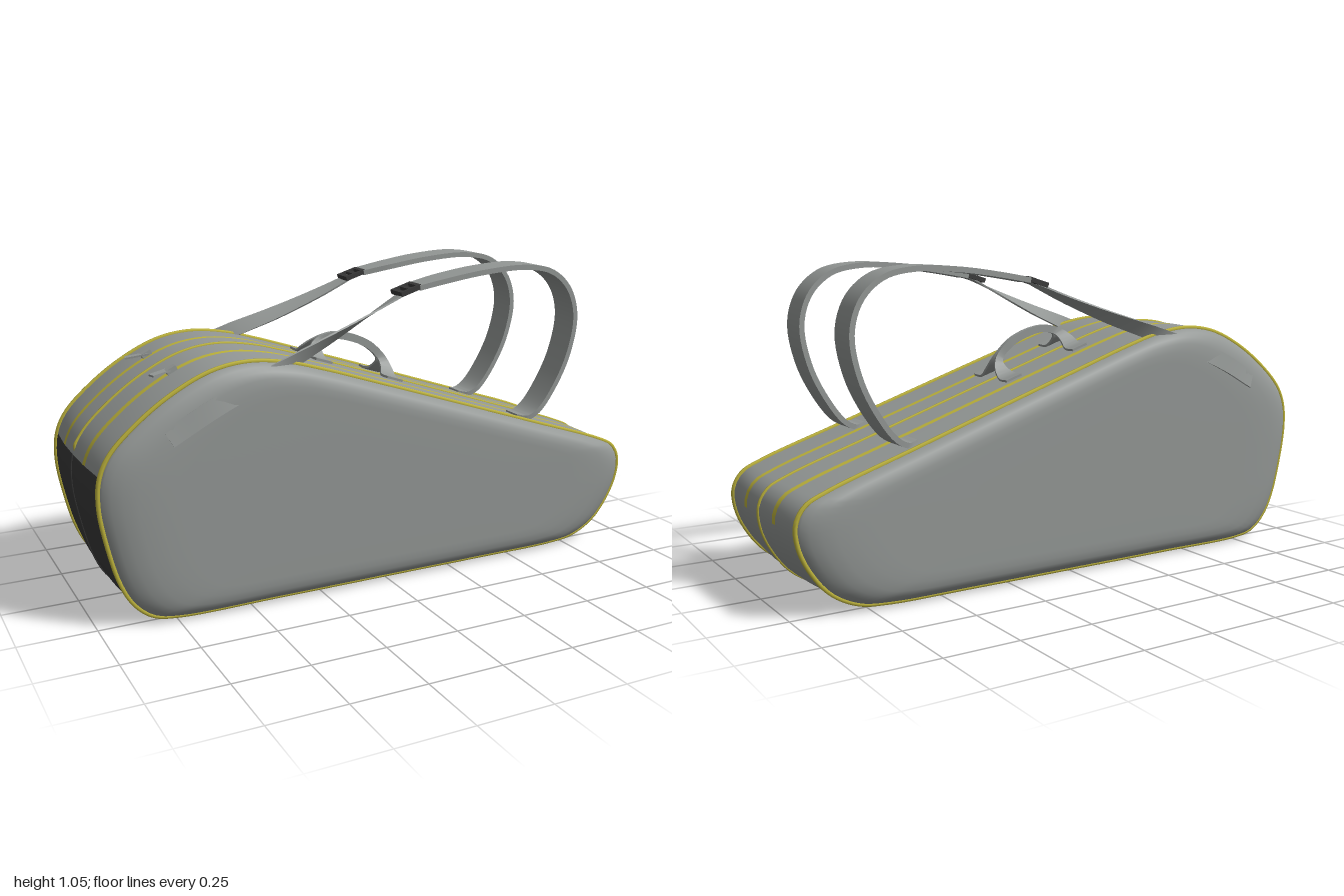
import * as THREE from 'three';
import { toCreasedNormals } from 'three/addons/utils/BufferGeometryUtils.js';

const V = (x, y, z = 0) => new THREE.Vector3(x, y, z);
const mat = (name, color, side = THREE.FrontSide) => new THREE.MeshStandardMaterial({ name, color, side });

export function createModel() {
  const model = new THREE.Group();
  model.name = 'racketBag';
  const fabric = mat('grey fabric', 0x949896);
  const yellow = mat('yellow trim', 0xbdb33c);
  const dark = mat('dark panel', 0x3a3a3a);

  const add = (name, geometry, material) => {
    const mesh = new THREE.Mesh(geometry, material);
    mesh.name = name;
    model.add(mesh);
    return mesh;
  };

  // Side outline of the bag, anticlockwise from the rear of the base
  const outline = new THREE.CatmullRomCurve3([
    [-0.76, 0.009], [-0.4, 0.007], [0, 0.007], [0.4, 0.007], [0.7, 0.009], [0.8, 0.022], [0.89, 0.07],
    [0.955, 0.15], [0.99, 0.23], [0.995, 0.3], [0.965, 0.352], [0.9, 0.385], [0.6, 0.487], [0.3, 0.588],
    [0, 0.688], [-0.25, 0.77], [-0.37, 0.803], [-0.5, 0.818], [-0.62, 0.8], [-0.75, 0.74], [-0.87, 0.655],
    [-0.955, 0.57], [-0.988, 0.5], [-0.995, 0.41], [-0.975, 0.28], [-0.94, 0.15], [-0.9, 0.075], [-0.84, 0.025],
  ].map(p => V(...p)), true, 'centripetal');
  const N = 180;
  const profile = outline.getSpacedPoints(N).slice(0, N);
  const isDark = p => p.x < -0.83 && p.y < 0.52;
  const inset = (p, d, z) => V(p.x * (1 - d), 0.36 + (p.y - 0.36) * (1 - d), z);

  // Shell: rings across the width, each [z, inset towards the middle]
  const half = [[0.115, 0.002], [0.14, 0.003], [0.28, 0.014], [0.293, 0.024], [0.307, 0.046], [0.319, 0.08],
    [0.327, 0.125], [0.331, 0.19], [0.332, 0.26], [0.332, 0.6], [0.332, 1]];
  const rings = [...half.map(([z, d]) => [-z, d]).reverse(), [0, 0], ...half];
  const positions = [];
  rings.forEach(([z, d]) => profile.forEach(p => positions.push(...inset(p, d, z).toArray())));
  const faces = [[], [], []];
  for (let r = 0; r < rings.length - 1; r++) {
    const zMid = Math.abs(rings[r][0] + rings[r + 1][0]) / 2;
    for (let i = 0; i < N; i++) {
      const p = profile[i], j = (i + 1) % N;
      let slot = 0;
      if (zMid < 0.28 && isDark(p)) slot = 2;
      else if (zMid > 0.116 && zMid < 0.139 && p.y > 0.26) slot = 1;
      const a = r * N + i, b = r * N + j, c = b + N, e = a + N;
      faces[slot].push(a, b, c, a, c, e);
    }
  }
  const shell = new THREE.BufferGeometry();
  shell.setAttribute('position', new THREE.Float32BufferAttribute(positions, 3));
  shell.setIndex(faces.flat());
  let start = 0;
  faces.forEach((f, slot) => { shell.addGroup(start, f.length, slot); start += f.length; });
  shell.computeVertexNormals();
  add('bagBody', shell, [fabric, yellow, dark]);

  // Piping round both side panels, and along the middle seam
  const pipe = (pts, closed, radius) =>
    new THREE.TubeGeometry(new THREE.CatmullRomCurve3(pts, closed), 240, radius, 6, closed);
  for (const s of [1, -1])
    add('sidePiping', pipe(profile.map(p => inset(p, 0.013, s * 0.281)), true, 0.008), yellow);
  add('centrePiping', pipe(profile.filter(p => !isDark(p)), false, 0.006), yellow);
  add('rearSeam', pipe(profile.filter(isDark), false, 0.004), dark);

  // Flat band along a path; each station is [x, y, z, half-width vector x, y, z]
  const band = (stations, thickness, steps, mirror = 1) => {
    const path = new THREE.CatmullRomCurve3(stations.map(s => V(s[0], s[1], s[2] * mirror)), false, 'centripetal');
    const pos = [], idx = [];
    const last = stations.length - 1;
    for (let k = 0; k <= steps; k++) {
      const t = k / steps, f = Math.min(t * last, last - 1e-6), n = Math.floor(f);
      const wa = V(...stations[n].slice(3)), wb = V(...stations[n + 1].slice(3));
      const w = wa.lerp(wb, f - n);
      w.z *= mirror;
      const c = path.getPoint(t), tangent = path.getTangent(t);
      const up = w.clone().cross(tangent).normalize().multiplyScalar(thickness / 2);
      for (const [a, b] of [[1, 1], [-1, 1], [-1, -1], [1, -1]])
        pos.push(...c.clone().addScaledVector(w, a).addScaledVector(up, b).toArray());
      if (k < steps) for (let q = 0; q < 4; q++) {
        const a = k * 4 + q, b = k * 4 + (q + 1) % 4;
        idx.push(a, b, b + 4, a, b + 4, a + 4);
      }
    }
    const e = steps * 4;
    idx.push(0, 2, 1, 0, 3, 2, e, e + 1, e + 2, e, e + 2, e + 3);
    const g = new THREE.BufferGeometry();
    g.setAttribute('position', new THREE.Float32BufferAttribute(pos, 3));
    g.setIndex(idx);
    return toCreasedNormals(g, 0.8);
  };
  const strapFabric = mat('strap fabric', 0x949896, THREE.DoubleSide);

  const padded = [
    [0.555, 0.497, 0.2, 0, 0, 0.035], [0.59, 0.492, 0.2, 0, 0, 0.05], [0.635, 0.515, 0.2, 0, 0, 0.054],
    [0.7, 0.6, 0.2, 0, 0, 0.055], [0.755, 0.715, 0.2, 0, 0, 0.055], [0.778, 0.85, 0.2, 0, 0, 0.055],
    [0.745, 0.95, 0.2, 0, 0, 0.055], [0.67, 1.015, 0.2, 0, 0, 0.055], [0.56, 1.038, 0.2, 0, 0, 0.055],
    [0.4, 1.032, 0.2, 0, 0, 0.054], [0.25, 1.012, 0.2, 0, 0, 0.05], [0.14, 0.993, 0.205, 0, 0, 0.04],
  ];
  const webbing = [
    [0.12, 0.985, 0.205, 0, 0, 0.026], [-0.02, 0.922, 0.222, -0.004, 0.008, 0.025],
    [-0.18, 0.857, 0.25, -0.007, 0.017, 0.019], [-0.33, 0.803, 0.283, -0.009, 0.023, 0.012],
    [-0.47, 0.75, 0.312, -0.011, 0.026, -0.005], [-0.62, 0.69, 0.328, -0.013, 0.027, -0.005],
    [-0.77, 0.61, 0.325, -0.014, 0.026, -0.008],
  ];
  const handle = [
    [-0.15, 0.747, 0.11, -0.03, 0.01, 0], [-0.15, 0.748, 0.06, -0.03, 0.01, 0],
    [-0.147, 0.77, 0.03, -0.024, 0.008, 0], [-0.125, 0.795, 0.008, -0.012, 0.01, 0],
    [-0.07, 0.809, 0.005, -0.004, 0.013, 0], [0, 0.797, 0.005, 0.004, 0.013, 0],
    [0.07, 0.765, 0.005, 0.008, 0.011, 0], [0.12, 0.715, 0.008, 0.013, 0.006, 0],
    [0.128, 0.68, 0.03, 0.022, -0.004, 0], [0.122, 0.657, 0.06, 0.03, -0.01, 0],
    [0.122, 0.656, 0.11, 0.03, -0.01, 0],
  ];
  for (const s of [1, -1]) {
    add('paddedStrap', band(padded, 0.018, 60, s), strapFabric);
    add('strapWebbing', band(webbing, 0.006, 40, s), strapFabric);
    add('carryHandle', band(handle, 0.008, 48, s), strapFabric);

    // Buckle: a frame with two bars
    const buckle = new THREE.Group();
    buckle.name = 'strapBuckle';
    const bar = (w, d, x, z) => {
      const m = new THREE.Mesh(new THREE.BoxGeometry(w, 0.016, d), dark);
      m.name = 'buckleBar';
      m.position.set(x, 0, z);
      buckle.add(m);
    };
    for (const x of [-0.032, 0, 0.032]) bar(0.014, 0.07, x, 0);
    for (const z of [-0.033, 0.033]) bar(0.078, 0.01, 0, z);
    buckle.position.set(0.108, 0.986, s * 0.205);
    buckle.rotation.z = 0.3;
    model.add(buckle);

    // Zip slider and pull on the rear shoulder
    const slider = add('zipSlider', new THREE.BoxGeometry(0.035, 0.016, 0.024), fabric);
    slider.position.set(-0.695, 0.778, s * 0.135);
    slider.rotation.z = 0.46;
    const pull = add('zipPull', new THREE.BoxGeometry(0.08, 0.006, 0.03), fabric);
    pull.position.set(-0.725, 0.773, s * 0.138);
    pull.rotation.set(0, s * 0.25, 0.15);
  }
  return model;
}
